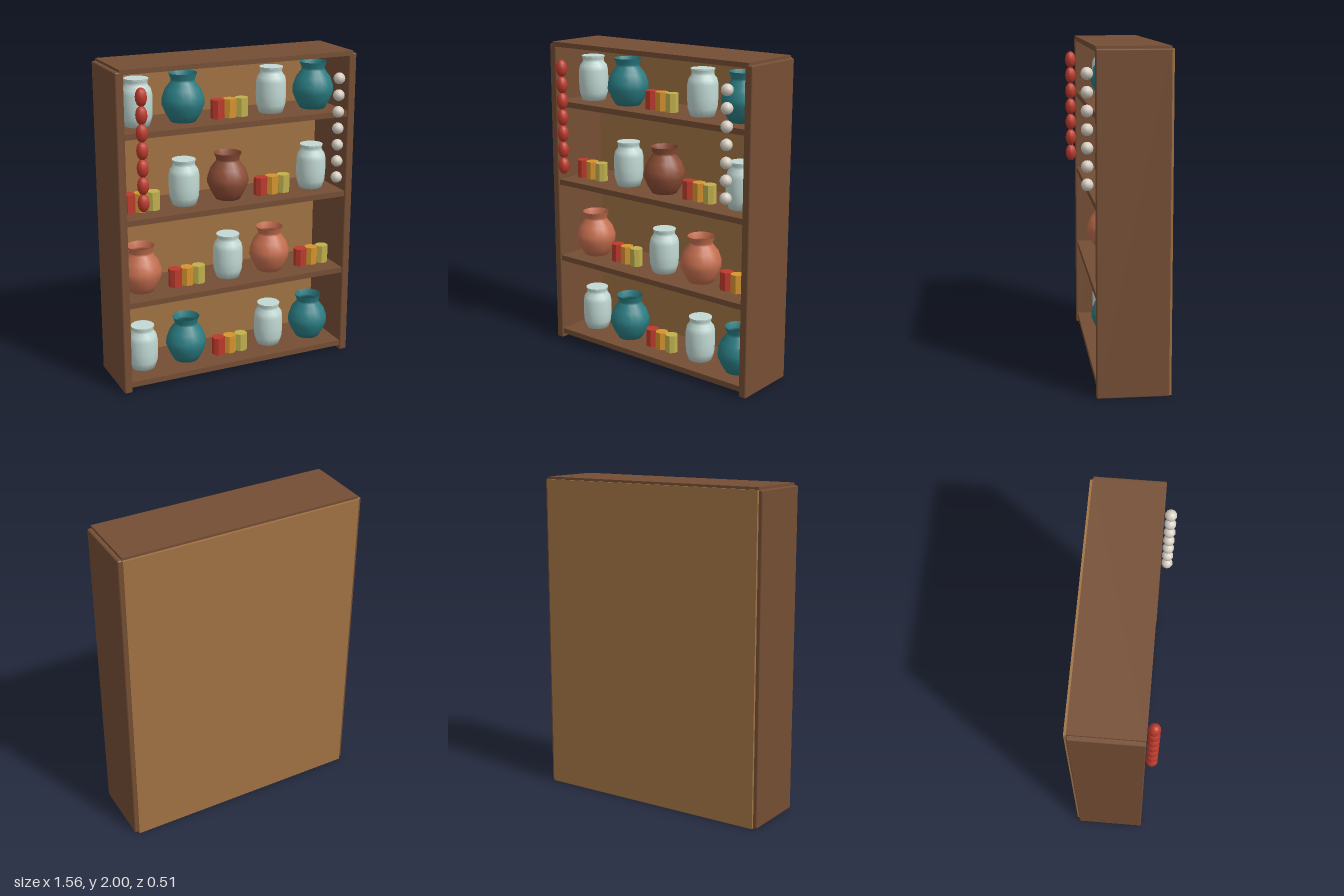
import * as THREE from 'three';
import { RoundedBoxGeometry } from 'three/addons/geometries/RoundedBoxGeometry.js';

const mat = (name, color, extra = {}) => {
  const m = new THREE.MeshStandardMaterial({ color, ...extra });
  m.name = name;
  return m;
};

export function createModel() {
  const open = { side: THREE.DoubleSide };
  const flat = { flatShading: true };
  const wood = mat('dark wood', 0x754e34);
  const panel = mat('light wood', 0xa07243);
  const teal = mat('teal glaze', 0x2a7c82, open);
  const pale = mat('pale glaze', 0xc2d9d3, open);
  const terracotta = mat('terracotta', 0xc46e4e, open);
  const brown = mat('brown clay', 0x8c4d36, open);
  const red = mat('red', 0xbc3a2c);
  const orange = mat('orange', 0xd6932e, flat);
  const yellow = mat('olive yellow', 0xc0b04e, flat);
  const cream = mat('cream', 0xd6cec2);

  const root = new THREE.Group();
  root.name = 'potteryShelf';

  const add = (parent, name, geometry, material, x, y, z) => {
    const mesh = new THREE.Mesh(geometry, material);
    mesh.name = name;
    mesh.position.set(x, y, z);
    parent.add(mesh);
    return mesh;
  };

  // Cabinet frame
  for (const [name, s] of [['leftSide', 1], ['rightSide', -1]]) {
    add(root, name, new RoundedBoxGeometry(0.05, 1.985, 0.42, 1, 0.008), wood, s * 0.755, 0.9925, -0.03);
  }
  add(root, 'topBoard', new THREE.BoxGeometry(1.51, 0.03, 0.42), wood, 0, 1.985, -0.03);
  add(root, 'backPanel', new THREE.BoxGeometry(1.51, 1.985, 0.025), panel, 0, 0.9925, -0.2425);

  // Turned profiles: a wide pot and a narrow jar
  const lathe = (points) =>
    new THREE.LatheGeometry(points.map(([r, y]) => new THREE.Vector2(r, y)), 16);
  const potGeometry = lathe([
    [0, 0], [0.078, 0], [0.105, 0.045], [0.128, 0.1], [0.127, 0.14],
    [0.108, 0.195], [0.073, 0.24], [0.072, 0.255], [0.086, 0.292],
  ]);
  const jarGeometry = lathe([
    [0, 0], [0.074, 0], [0.09, 0.05], [0.094, 0.11], [0.093, 0.19],
    [0.086, 0.222], [0.068, 0.245], [0.067, 0.262], [0.074, 0.283],
  ]);
  const lidGeometry = new THREE.CylinderGeometry(0.073, 0.073, 0.006, 16);
  const tinGeometry = new THREE.CylinderGeometry(0.042, 0.042, 0.115, 8);

  const pot = (material) => (parent, x, y) =>
    add(parent, 'pot', potGeometry, material, x, y, -0.015);

  const jar = (parent, x, y) => {
    const group = new THREE.Group();
    group.name = 'jar';
    group.position.set(x, y, -0.015);
    add(group, 'jarBody', jarGeometry, pale, 0, 0, 0);
    add(group, 'jarTop', lidGeometry, pale, 0, 0.279, 0);
    parent.add(group);
  };

  // Three small tins standing side by side
  const redFlat = red.clone();
  redFlat.flatShading = true;
  const tins = (parent, x, y) => {
    const group = new THREE.Group();
    group.name = 'tins';
    group.position.set(x, y, 0.01);
    [redFlat, orange, yellow].forEach((material, i) => {
      const tin = add(group, 'tin', tinGeometry, material, (i - 1) * 0.079, 0.0575, 0);
      tin.rotation.y = Math.PI / 8;
    });
    parent.add(group);
  };

  // Shelves with their wares
  const T = pot(teal), C = pot(terracotta), B = pot(brown);
  const rows = [
    [jar, T, tins, jar, T],
    [C, tins, jar, C, tins],
    [tins, jar, B, tins, jar],
    [jar, T, tins, jar, T],
  ];
  rows.forEach((row, i) => {
    const top = 0.065 + i * 0.52;
    const shelf = new THREE.Group();
    shelf.name = 'shelf' + (i + 1);
    add(shelf, 'shelfBoard', new THREE.BoxGeometry(1.46, 0.035, 0.405), wood, 0, top - 0.0175, -0.0325);
    row.forEach((place, k) => place(shelf, (k - 2) * 0.293, top));
    root.add(shelf);
  });

  // Hanging strings of beads
  const beadGeometry = new THREE.SphereGeometry(0.036, 10, 8);
  for (const [name, x, material, stretch] of [
    ['redBeads', -0.643, red, 1.53],
    ['creamBeads', 0.64, cream, 1],
  ]) {
    const string = new THREE.Group();
    string.name = name;
    for (let i = 0; i < 7; i++) {
      add(string, 'bead', beadGeometry, material, x, 1.845 - i * 0.104, 0.217).scale.y = stretch;
    }
    root.add(string);
  }

  return root;
}
